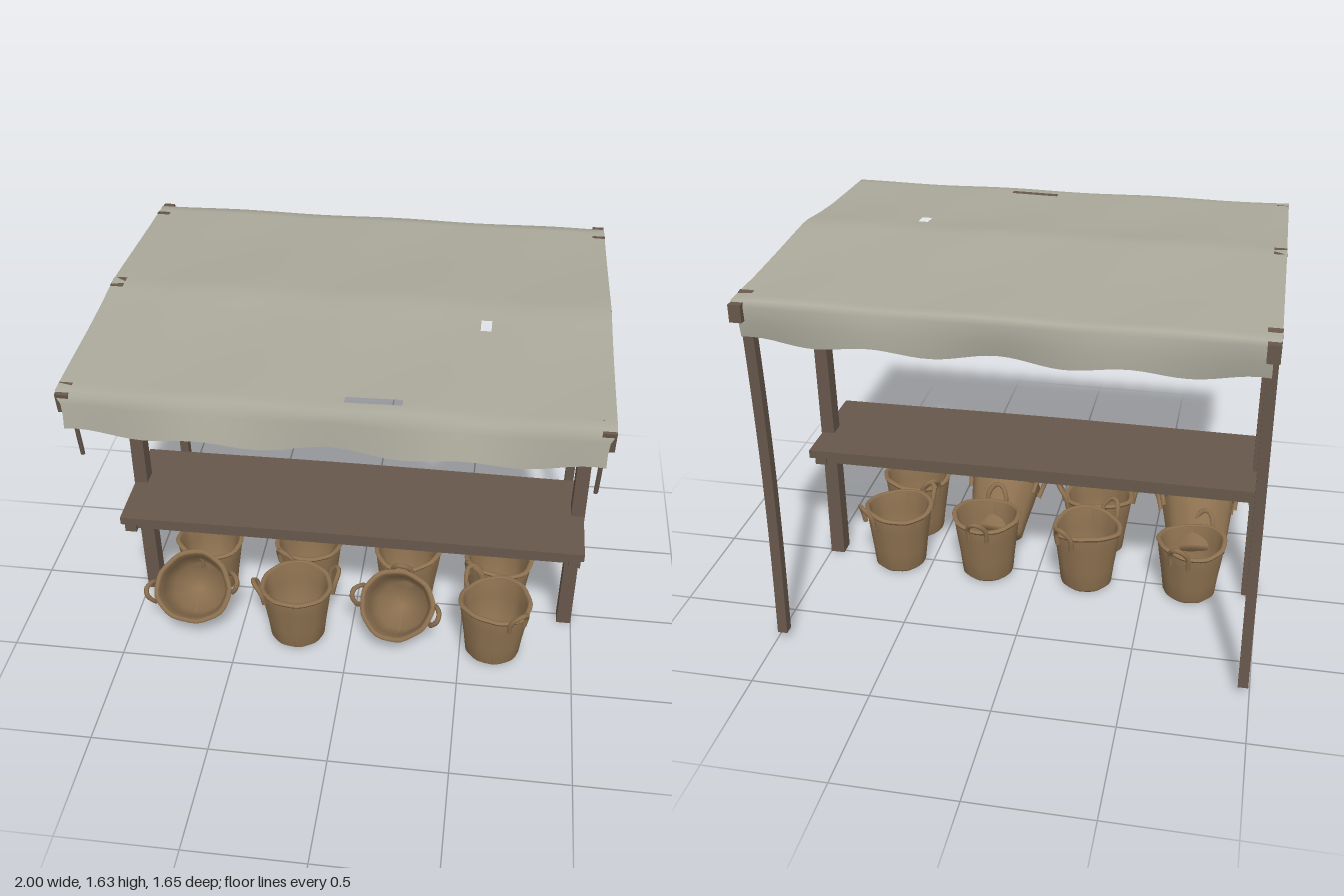
import * as THREE from 'three';

export function createModel() {
  const model = new THREE.Group();
  model.name = 'marketStall';
  const material = (name, color) => Object.assign(new THREE.MeshStandardMaterial({ color }), { name });
  const wood = material('weatheredWood', 0x67574b);
  const cloth = material('canvas', 0xaba99b);
  const wicker = material('wicker', 0x8d7150);
  cloth.side = THREE.DoubleSide;

  const add = (parent, name, geometry, mat, x = 0, y = 0, z = 0) => {
    const mesh = new THREE.Mesh(geometry, mat);
    mesh.name = name;
    mesh.position.set(x, y, z);
    parent.add(mesh);
    return mesh;
  };
  const box = (name, w, h, d, x, y, z) => add(model, name, new THREE.BoxGeometry(w, h, d), wood, x, y, z);

  // Moves every vertex of a geometry by a rule
  const bend = (geometry, rule) => {
    const p = geometry.attributes.position;
    const v = new THREE.Vector3();
    for (let i = 0; i < p.count; i++) {
      rule(v.fromBufferAttribute(p, i), i);
      p.setXYZ(i, v.x, v.y, v.z);
    }
    geometry.computeVertexNormals();
    return geometry;
  };
  const tube = (points, radius, sides = 6) => new THREE.TubeGeometry(
    new THREE.CatmullRomCurve3(points.map(p => new THREE.Vector3(...p))), 14, radius, sides);

  // Side frames: main post, bent rear post, rafter, brace, lashings
  for (const s of [-1, 1]) {
    const post = bend(new THREE.BoxGeometry(0.064, 1.625, 0.075, 1, 10, 1), v => {
      const t = v.y / 1.625 + 0.5;
      if (v.x * s < 0) v.x += s * 0.012 * t;
      v.z += 0.006 * Math.sin(t * 5);
    });
    add(model, 'mainPost', post, wood, s * 0.967, 0.825, 0.02);

    const rear = bend(new THREE.BoxGeometry(0.042, 1.49, 0.044, 1, 12, 1), v => {
      const t = v.y / 1.49 + 0.5;
      v.z += 0.022 * Math.sin(t * Math.PI) - 0.018 * t * t;
    });
    add(model, 'rearPost', rear, wood, s * 0.973, 0.795, -0.695);

    const rafter = bend(new THREE.BoxGeometry(0.048, 0.07, 1.57, 1, 1, 8), v => {
      v.y += 0.004 * Math.sin(v.z * 4);
    });
    add(model, 'rafter', rafter, wood, s * 0.973, 1.557, -0.035);

    add(model, 'brace', tube([[s * 0.965, 1.28, 0.03], [s * 0.962, 1.34, 0.16],
      [s * 0.962, 1.43, 0.36], [s * 0.965, 1.54, 0.6]], 0.012), wood);
    add(model, 'hangingStrap', tube([[s * 0.96, 1.53, 0.715], [s * 0.963, 1.42, 0.71],
      [s * 0.96, 1.27, 0.695]], 0.009, 5), wood);

    box('postLashing', 0.078, 0.06, 0.09, s * 0.96, 1.285, 0.022).rotation.x = 0.12;
    box('rafterLashing', 0.062, 0.085, 0.095, s * 0.968, 1.555, 0.02);
    box('frontLashing', 0.05, 0.085, 0.07, s * 0.972, 1.557, 0.745).rotation.x = 0.15;
    box('rearLashing', 0.054, 0.078, 0.06, s * 0.972, 1.56, -0.715).rotation.x = -0.2;
    box('shelfCleat', 0.05, 0.05, 0.46, s * 0.958, 0.59, 0.075);
  }
  box('frontBeam', 1.99, 0.062, 0.06, 0, 1.557, 0.745);
  box('rearBeam', 1.96, 0.056, 0.05, 0, 1.557, -0.72);

  // Shelf board with a rail under each long edge
  const board = bend(new THREE.BoxGeometry(1.99, 0.036, 0.51, 14, 1, 1), v => {
    v.y += 0.003 * Math.cos(v.x * 3);
  });
  add(model, 'shelfBoard', board, wood, 0, 0.635, 0.065);
  for (const z of [-0.13, 0.27]) box('shelfRail', 1.88, 0.045, 0.03, 0, 0.594, z);

  // Canopy cross-section from rear hem to front hem, as [z, y]
  const section = [[-0.795, 1.43], [-0.8, 1.5], [-0.798, 1.575], [-0.785, 1.598], [-0.74, 1.6],
    [-0.55, 1.607], [-0.35, 1.616], [-0.15, 1.629], [-0.03, 1.638], [0.02, 1.64], [0.07, 1.637],
    [0.13, 1.631], [0.2, 1.625], [0.35, 1.615], [0.55, 1.607], [0.68, 1.603], [0.715, 1.602],
    [0.765, 1.6], [0.782, 1.588], [0.79, 1.55], [0.8, 1.5], [0.812, 1.438]];
  const cols = 48, rows = section.length - 1;
  const canopy = new THREE.PlaneGeometry(2, 1, cols, rows);
  // Small tears in the cloth
  const kept = [];
  for (let i = 0; i < canopy.index.count; i += 6) {
    const col = (i / 6) % cols, row = Math.floor(i / 6 / cols);
    const torn = (row === 11 && col === 36) || (row === 15 && col >= 25 && col <= 29);
    if (!torn) for (let k = 0; k < 6; k++) kept.push(canopy.index.getX(i + k));
  }
  canopy.setIndex(kept);
  bend(canopy, (v, i) => {
    const [z, y] = section[Math.floor(i / (cols + 1))];
    const x = v.x;
    const hang = Math.max(0, (1.59 - y) / 0.15);
    const wave = Math.cos(x * 7 + 3.1);
    v.set(x * (0.998 - 0.025 * Math.min(1, hang * 3)),
      y + hang * (0.01 + 0.012 * Math.cos(x * 13)) + (hang ? 0 : 0.0025 * Math.sin(x * 9 + z * 7)),
      z + Math.sign(z) * hang * 0.014 * wave);
  });
  add(model, 'canopy', canopy, cloth);

  // Open woven basket with a rolled rim and two rope handles
  const basket = (name, x, y, z, { r = 0.155, h = 0.3, turn = 0, tilt = 0, lean = 0 } = {}) => {
    const g = new THREE.Group();
    g.name = name;
    const b = r * 0.78;
    const profile = [[0, 0], [b * 0.85, 0], [b, 0.018], [b * 1.08, h * 0.35], [r * 0.95, h * 0.75],
      [r, h - 0.01], [r - 0.006, h + 0.004], [r - 0.018, h - 0.004], [r * 0.84, h * 0.7],
      [b * 0.9, 0.04], [0, 0.03]].map(p => new THREE.Vector2(...p));
    const warp = v => {
      const a = Math.atan2(v.z, v.x), t = v.y / h;
      const k = 1 + 0.025 * t * Math.sin(a * 3 + x * 9) + 0.012 * Math.cos(a * 9);
      v.x *= k;
      v.z *= k * 0.96;
      v.y += 0.01 * t * Math.sin(a * 2 + x * 5);
    };
    add(g, 'basketBody', bend(new THREE.LatheGeometry(profile, 36), warp), wicker);
    const rim = new THREE.TorusGeometry(r - 0.004, 0.011, 6, 36).rotateX(Math.PI / 2).translate(0, h - 0.005, 0);
    add(g, 'basketRim', bend(rim, warp), wicker);
    for (const s of [-1, 1]) {
      const handle = tube([[s * r, h - 0.05, -0.04], [s * (r + 0.012), h + 0.01, -0.042],
        [s * (r + 0.035), h + 0.05, -0.015], [s * (r + 0.035), h + 0.05, 0.015],
        [s * (r + 0.012), h + 0.01, 0.042], [s * r, h - 0.05, 0.04]], 0.011);
      add(g, 'basketHandle', handle, wicker).rotation.y = turn;
    }
    g.position.set(x, y, z);
    g.rotation.set(tilt, 0, lean);
    model.add(g);
  };

  // Front row: two baskets tipped towards the front, two standing
  basket('tippedBasket', -0.72, 0.105, 0.13, { r: 0.165, h: 0.265, tilt: 0.82, lean: -0.08, turn: 0.2 });
  basket('standingBasket', -0.24, 0.012, 0.27, { h: 0.295, turn: 0.35 });
  basket('tippedBasket', 0.23, 0.1, 0.13, { r: 0.16, h: 0.265, tilt: 0.82, lean: 0.06, turn: -0.2 });
  basket('standingBasket', 0.645, 0.015, 0.27, { turn: -0.9 });

  // Back row: all standing
  basket('standingBasket', -0.7, 0.012, -0.03, { r: 0.15, h: 0.27, turn: 1.3 });
  basket('standingBasket', -0.23, 0.012, -0.03, { r: 0.15, turn: 1.0 });
  basket('standingBasket', 0.23, 0.012, -0.03, { r: 0.15, turn: 1.5 });
  basket('standingBasket', 0.65, 0.012, -0.03, { r: 0.15, turn: 0.8 });

  return model;
}
